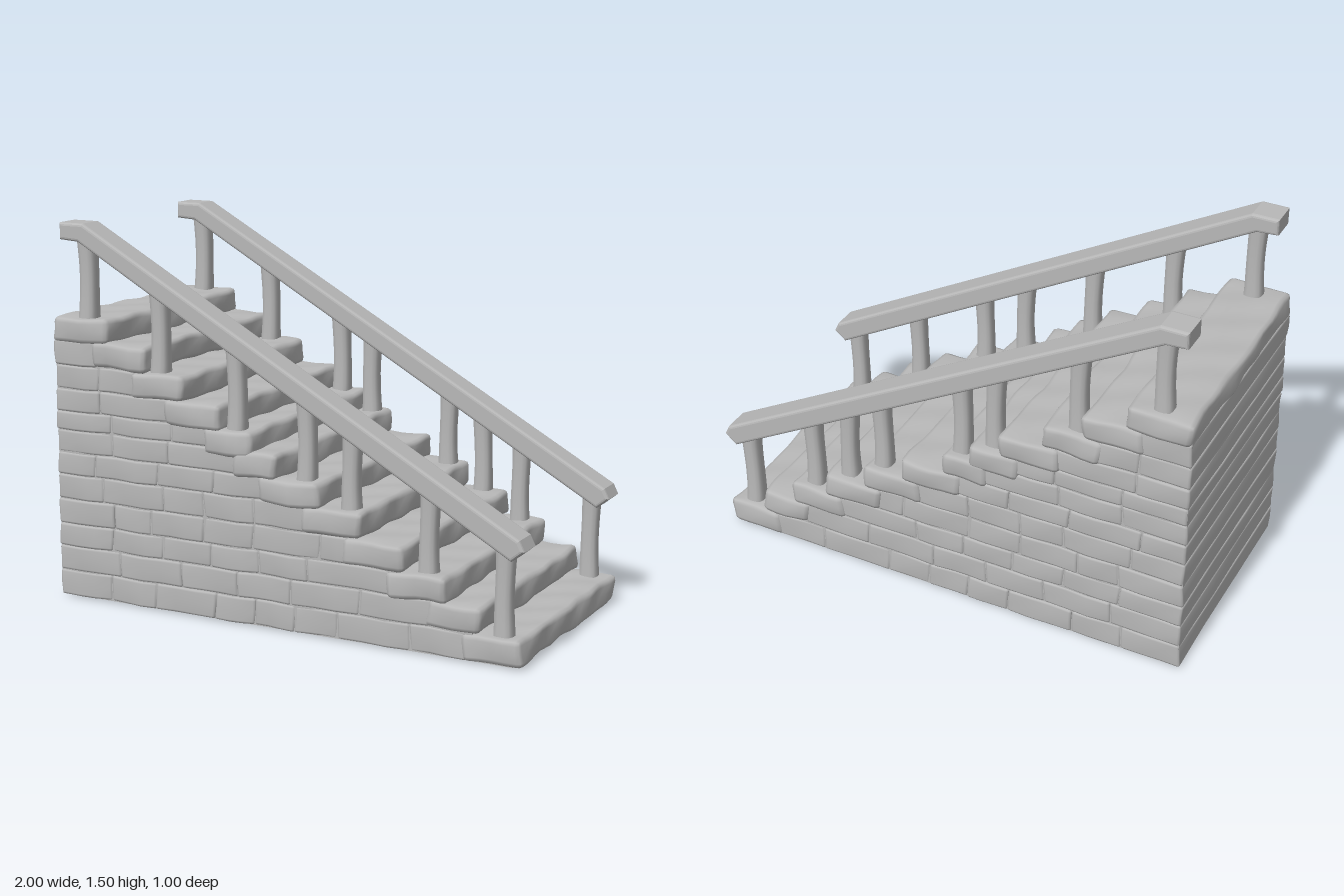
import * as THREE from 'three';
import { mergeVertices } from 'three/addons/utils/BufferGeometryUtils.js';

const stone = new THREE.MeshStandardMaterial({ color: 0xb8b8b8 });
stone.name = 'grey stone';

// Height of each tread and the x of its nosing, from top to bottom
const STEPS = [
  [1.13, -0.74], [1.04, -0.57], [0.94, -0.41], [0.845, -0.24],
  [0.755, -0.11], [0.68, 0.0], [0.59, 0.18], [0.5, 0.355],
  [0.4, 0.53], [0.3, 0.695], [0.208, 0.835], [0.108, 0.995],
];
const LEFT = -0.99;

let seed = 7;
function rand() {
  seed = (seed * 16807) % 2147483647;
  return seed / 2147483647;
}

// Smooth normals over shared vertices
function smooth(geo) {
  geo.deleteAttribute('uv');
  geo.deleteAttribute('normal');
  const merged = mergeVertices(geo, 1e-4);
  merged.computeVertexNormals();
  return merged;
}

// Gently uneven displacement, a function of position only
function wobble(v, amount) {
  const { x, y, z } = v;
  v.x += amount * Math.sin(z * 17 + y * 9 + x * 3) * Math.cos(z * 7 + y * 31);
  v.y += amount * 0.8 * Math.sin(x * 23 + z * 13) * Math.cos(z * 19 - x * 5);
  v.z += amount * 0.5 * Math.sin(x * 19 + y * 27);
}

// Worn block between two corners: rounded edges and an uneven surface
function wornBlock(min, max, radius, amount, segs) {
  const size = max.map((m, i) => m - min[i]);
  const geo = new THREE.BoxGeometry(1, 1, 1, ...segs);
  const pos = geo.attributes.position;
  const v = new THREE.Vector3();
  for (let i = 0; i < pos.count; i++) {
    v.fromBufferAttribute(pos, i);
    const p = [v.x, v.y, v.z].map((c, a) => {
      const n = segs[a];
      const k = Math.round((c + 0.5) * n);
      const half = size[a] / 2;
      // outermost rows of the grid hug the edge so it can be rounded
      if (k === 0) return -half;
      if (k === n) return half;
      return -half + radius + ((k - 1) / (n - 2)) * (size[a] - 2 * radius);
    });
    const inner = p.map((c, a) => THREE.MathUtils.clamp(c, -size[a] / 2 + radius, size[a] / 2 - radius));
    const d = new THREE.Vector3(...p.map((c, a) => c - inner[a]));
    if (d.lengthSq() > 0) d.setLength(radius);
    v.set(...inner.map((c, a) => c + (min[a] + max[a]) / 2)).add(d);
    wobble(v, amount);
    pos.setXYZ(i, v.x, v.y, v.z);
  }
  return smooth(geo);
}

function add(parent, name, geo) {
  const mesh = new THREE.Mesh(geo, stone);
  mesh.name = name;
  parent.add(mesh);
  return mesh;
}

function group(parent, name) {
  const g = new THREE.Group();
  g.name = name;
  parent.add(g);
  return g;
}

// Solid stair-shaped core under the treads
function buildCore(parent) {
  const s = new THREE.Shape();
  s.moveTo(LEFT, 0.005);
  s.lineTo(LEFT, STEPS[0][0] - 0.04);
  STEPS.forEach(([top, edge], i) => {
    const next = STEPS[i + 1];
    s.lineTo(edge - 0.035, top - 0.04);
    s.lineTo(edge - 0.035, next ? next[0] - 0.04 : 0.005);
  });
  s.closePath();
  const geo = new THREE.ExtrudeGeometry(s, { depth: 0.95, bevelEnabled: false });
  geo.translate(0, 0, -0.475);
  add(parent, 'stairCore', geo);
}

// Faint masonry courses that barely stand out of both side walls
function buildMasonry(parent) {
  const g = group(parent, 'wallStones');
  for (let i = 1; i < STEPS.length; i++) {
    const y0 = i < STEPS.length - 1 ? STEPS[i + 1][0] : 0.004;
    const y1 = STEPS[i][0];
    const end = STEPS[i - 1][1] - 0.06;
    let x = LEFT - 0.004;
    while (x < end - 0.04) {
      let x1 = x + 0.16 + rand() * 0.14;
      if (end - x1 < 0.1) x1 = end;
      const h = 0.478 + rand() * 0.006;
      add(g, 'wallStone', wornBlock([x, y0, -h], [x1, y1, h], 0.01, 0.004, [5, 4, 5]));
      x = x1;
    }
  }
}

// Overlapping tread slabs
function buildTreads(parent) {
  const g = group(parent, 'treads');
  STEPS.forEach(([top, edge], i) => {
    const last = i === STEPS.length - 1;
    const x0 = i ? STEPS[i - 1][1] - 0.075 : LEFT - 0.006;
    const h = last ? 0.487 : 0.489 + rand() * 0.008;
    const bottom = last ? 0.004 : top - 0.1;
    add(g, 'tread', wornBlock([x0, bottom, -h], [edge, top, h], 0.02, 0.007, [6, 4, 22]));
  });
}

// Sloping handrail with a short level end at the top
function buildRail(parent, z) {
  const s = new THREE.Shape();
  const b = 0.012;
  [[-0.945, 1.442], [-0.87, 1.437], [0.945, 0.41], [0.982, 0.44], [0.968, 0.468], [-0.853, 1.485], [-0.945, 1.485]]
    .forEach(([x, y], i) => (i ? s.lineTo(x, y) : s.moveTo(x, y)));
  s.closePath();
  const geo = new THREE.ExtrudeGeometry(s, {
    depth: 0.12 - 2 * b, bevelThickness: b, bevelSize: b, bevelSegments: 3,
  });
  geo.translate(0, 0, z - 0.06 + b);
  add(parent, 'handrail', geo);
}

// Rounded square baluster, slightly waisted, from tread to rail
function buildPost(parent, x, z) {
  const tread = STEPS.find(([, edge]) => x < edge - 0.01)[0];
  const top = x < -0.85 ? 1.46 : 1.46 - 0.5635 * (x + 0.85);
  const height = top - tread + 0.03;
  const geo = new THREE.CylinderGeometry(1, 1, height, 16, 6, true);
  const pos = geo.attributes.position;
  for (let i = 0; i < pos.count; i++) {
    const px = pos.getX(i), pz = pos.getZ(i);
    const t = pos.getY(i) / height;
    const square = Math.pow(px ** 4 + pz ** 4, -0.25);
    const r = square * (0.032 + 0.022 * t * t);
    pos.setX(i, px * r + 0.003 * Math.sin(t * 5 + x * 20));
    pos.setZ(i, pz * r);
  }
  const post = add(parent, 'baluster', smooth(geo));
  post.position.set(x, tread - 0.03 + height / 2, z);
}

export function createModel() {
  const model = new THREE.Group();
  model.name = 'stoneStaircase';
  buildCore(model);
  buildMasonry(model);
  buildTreads(model);

  // The two balustrades have differently spaced posts
  const sides = [
    ['frontBalustrade', 0.423, [-0.862, -0.537, -0.2, 0.1, 0.288, 0.605, 0.905]],
    ['backBalustrade', -0.427, [-0.862, -0.537, -0.2, -0.06, 0.288, 0.44, 0.605, 0.905]],
  ];
  for (const [name, z, posts] of sides) {
    const g = group(model, name);
    buildRail(g, z);
    posts.forEach((x) => buildPost(g, x, z));
  }
  return model;
}
